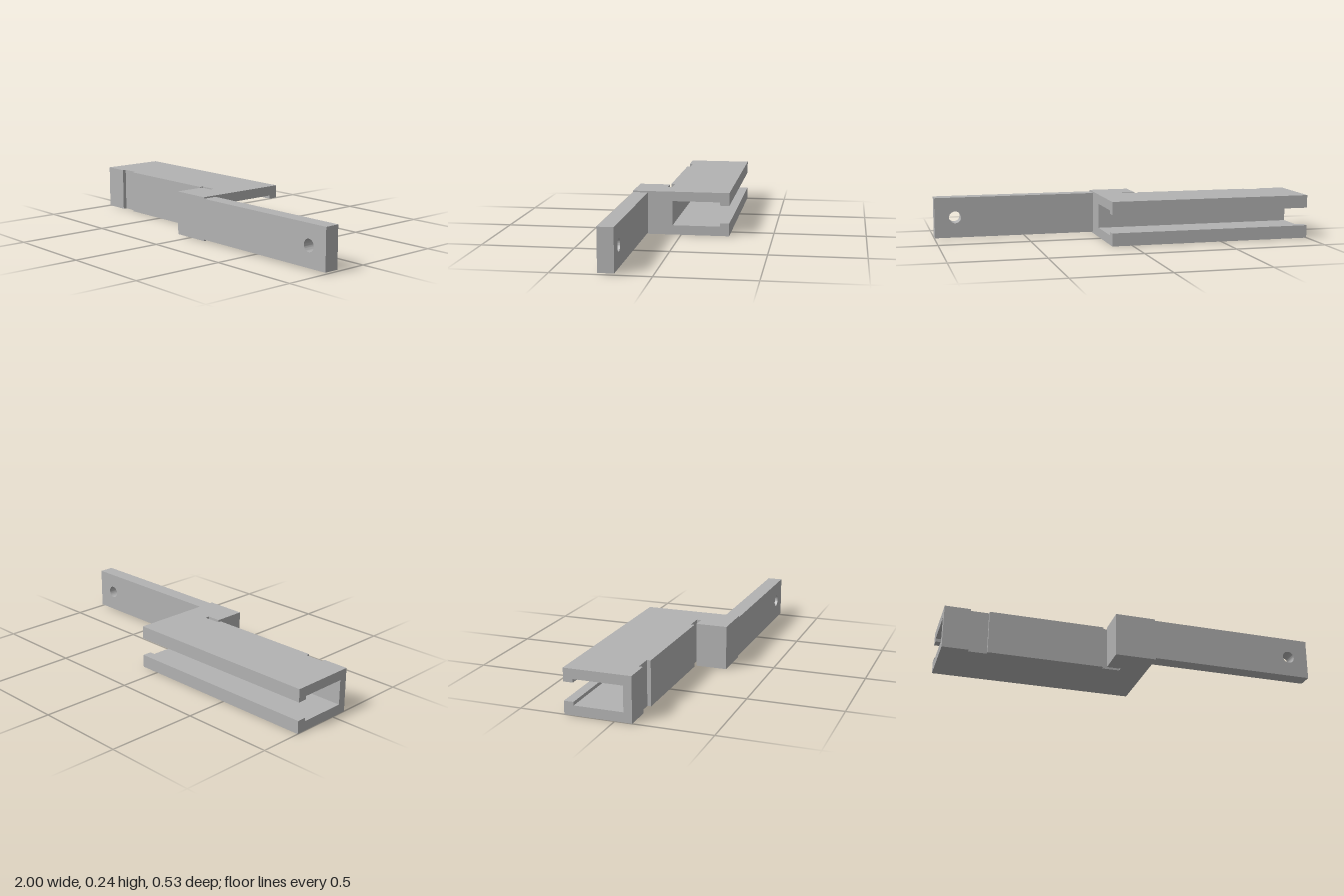
import * as THREE from 'three';
import { toCreasedNormals } from 'three/addons/utils/BufferGeometryUtils.js';

const HEIGHT = 0.238;

const outline = (points) => new THREE.Shape(points.map(([x, y]) => new THREE.Vector2(x, y)));
const extrude = (shape, depth) =>
  new THREE.ExtrudeGeometry(shape, { depth, bevelEnabled: false, curveSegments: 24 });

export function createModel() {
  const group = new THREE.Group();
  const grey = new THREE.MeshStandardMaterial({ color: 0xb2b2b2 });
  grey.name = 'plain grey';

  const add = (name, geometry) => {
    const mesh = new THREE.Mesh(geometry, grey);
    mesh.name = name;
    group.add(mesh);
  };

  // Lipped C-channel, open to the back: section in (-z, y), swept along x
  const channel = extrude(outline([
    [-0.07, 0], [0.264, 0], [0.264, 0.07], [0.213, 0.07], [0.213, 0.052], [-0.046, 0.052],
    [-0.046, 0.186], [0.213, 0.186], [0.213, 0.168], [0.264, 0.168], [0.264, HEIGHT], [-0.07, HEIGHT],
  ]), 1.11);
  channel.rotateY(Math.PI / 2).translate(-1, 0, 0);
  add('channel', channel);

  // Full-height pieces on the front wall, given as plans in (x, z)
  const addUpright = (name, plan) => {
    const geometry = extrude(outline(plan.map(([x, z]) => [x, -z])), HEIGHT);
    add(name, geometry.rotateX(-Math.PI / 2));
  };
  // Two facing pads leave a shallow groove between them
  addUpright('endPad', [[-1, 0.09], [-0.86, 0.09], [-0.86, 0.07], [-1, 0.07]]);
  addUpright('longPad', [[-0.76, 0.09], [-0.13, 0.09], [-0.13, 0.07], [-0.76, 0.07]]);
  // Hooked block with a narrow slot behind its free end
  addUpright('hookBlock', [
    [-0.035, 0.07], [-0.035, 0.095], [-0.11, 0.095], [-0.11, 0.264], [0.11, 0.264], [0.11, 0.07],
  ]);

  // Slightly lower arm with a round hole through its far end
  const armShape = outline([[0.11, 0.008], [1, 0.008], [1, 0.23], [0.11, 0.23]]);
  const hole = new THREE.Path();
  hole.absarc(0.888, 0.12, 0.033, 0, Math.PI * 2, true);
  armShape.holes.push(hole);
  const arm = extrude(armShape, 0.082);
  arm.translate(0, 0, 0.182);
  add('arm', toCreasedNormals(arm, 0.6));

  return group;
}
